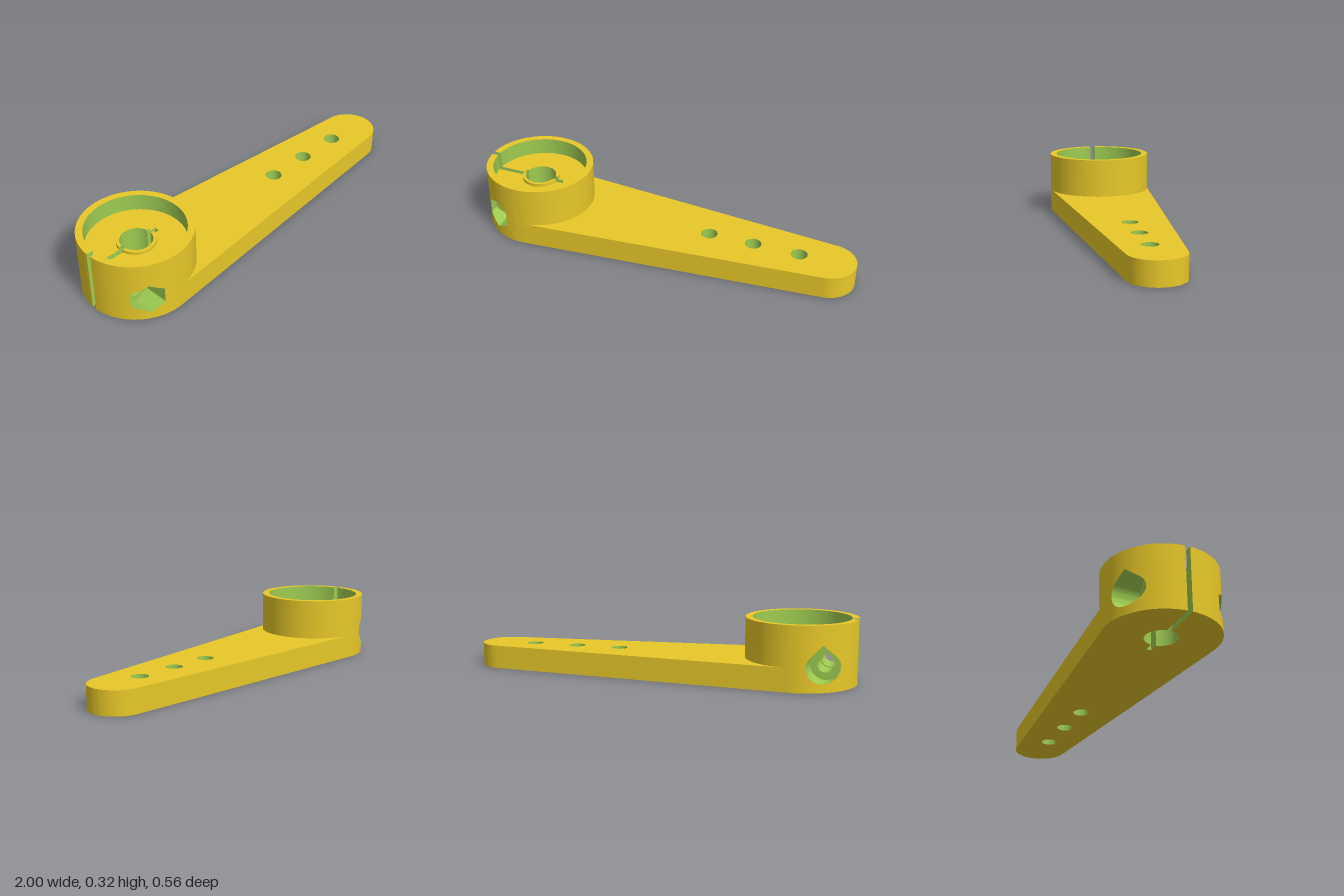
import * as THREE from 'three';
import { toCreasedNormals } from 'three/addons/utils/BufferGeometryUtils.js';

const V2 = (x, y) => new THREE.Vector2(x, y);
const V3 = (x, y, z) => new THREE.Vector3(x, y, z);

// main sizes, measured from the hub axis
const R = 0.28, RECESS = 0.245, BOSS = 0.096, BORE = 0.08;
const H = 0.325, FLOOR = 0.237, BOSS_Y = 0.253, ARM_Y = 0.12;
const S = 0.0125, SLOT_END = 0.13;
const TIP_X = 1.58, TIP_R = 0.14;
const SCREW_X = -0.14, SCREW_Y = 0.12, SEAT_Z = 0.14;
const T = Math.PI / 2 - Math.asin((R - TIP_R) / TIP_X);
const gap = (r) => Math.asin(S / r);

// plan-view arc as (x, z) points
function arc(r, a0, a1, cx = 0) {
  const n = Math.max(4, Math.ceil(Math.abs(a1 - a0) * 16));
  return Array.from({ length: n + 1 }, (_, i) => {
    const a = a0 + (a1 - a0) * i / n;
    return V2(cx + r * Math.cos(a), r * Math.sin(a));
  });
}

// convex cross-drill profile as columns of x, low and high edge
function profile(halfWidth, low, high) {
  return Array.from({ length: 25 }, (_, i) => {
    const x = -halfWidth * Math.cos(i * Math.PI / 24);
    return { x: SCREW_X + x, lo: SCREW_Y - low(Math.abs(x)), hi: SCREW_Y + high(Math.abs(x)) };
  });
}
function teardrop(r) {
  const round = (x) => Math.sqrt(Math.max(0, r * r - x * x));
  return profile(r, round, (x) => (x < r * Math.SQRT1_2 ? r * Math.SQRT2 - x : round(x)));
}
function hexagon(r) {
  const side = (x) => r - x / Math.sqrt(3);
  return profile(r * Math.sqrt(3) / 2, side, side);
}
const loop = (p) => [...p.map((c) => V2(c.x, c.lo)), ...p.slice().reverse().map((c) => V2(c.x, c.hi))];

export function createModel() {
  const body = new THREE.MeshStandardMaterial({ color: 0xf9d72c, side: THREE.DoubleSide });
  body.name = 'yellow body';
  const cut = new THREE.MeshStandardMaterial({ color: 0x9dcb51, side: THREE.DoubleSide });
  cut.name = 'green cut';
  const model = new THREE.Group();
  model.name = 'clampArm';
  const parts = new THREE.Group();
  parts.name = 'armParts';
  parts.position.x = -0.72;
  model.add(parts);

  function add(name, geo, mat) {
    const mesh = new THREE.Mesh(geo, mat);
    mesh.name = name;
    parts.add(mesh);
    return mesh;
  }
  // surface ruled between two rows of points
  function strip(name, a, b, mat) {
    const pos = [], idx = [];
    a.forEach((p, i) => {
      pos.push(p.x, p.y, p.z, b[i].x, b[i].y, b[i].z);
      if (i) idx.push(2 * i - 2, 2 * i - 1, 2 * i, 2 * i, 2 * i - 1, 2 * i + 1);
    });
    const geo = new THREE.BufferGeometry();
    geo.setAttribute('position', new THREE.Float32BufferAttribute(pos, 3));
    geo.setIndex(idx);
    return add(name, toCreasedNormals(geo, 0.6), mat);
  }
  const wall = (name, pts, y0, y1, mat) =>
    strip(name, pts.map((p) => V3(p.x, y0, p.y)), pts.map((p) => V3(p.x, y1, p.y)), mat);
  function face(name, pts, mat, holes = []) {
    const shape = new THREE.Shape(pts);
    shape.holes = holes.map((h) => new THREE.Path(h));
    return add(name, new THREE.ShapeGeometry(shape), mat);
  }
  function flat(name, pts, y, mat, holes, down = false) {
    const mesh = face(name, pts, mat, holes);
    mesh.geometry.rotateX(down ? Math.PI / 2 : -Math.PI / 2);
    mesh.position.y = y;
  }

  // arm: underside, top, tip, and three linkage holes
  const PI = Math.PI;
  const linkHoles = [0.955, 1.19, 1.43].map((x) => arc(0.042, 0, 2 * PI, x));
  const holeRims = linkHoles.map((h) => h.slice(0, -1));
  const tip = arc(TIP_R, T, -T, TIP_X);
  const outline = [
    ...arc(R, PI - gap(R), T), ...tip, ...arc(R, -T, gap(R) - PI),
    ...arc(BORE, gap(BORE) - PI, -gap(BORE)), V2(SLOT_END, -S),
    V2(SLOT_END, S), ...arc(BORE, gap(BORE), PI - gap(BORE)),
  ];
  flat('underside', outline, 0, body, holeRims, true);
  flat('armTop', [...tip, ...arc(R, -T, T)], ARM_Y, body, holeRims);
  wall('armTip', tip, 0, ARM_Y, body);
  linkHoles.forEach((h) => wall('linkageHole', h, 0, ARM_Y, cut));

  // hub: rim, recess and the wall above the arm
  const rimArc = (r) => arc(r, gap(r) - PI, PI - gap(r));
  flat('hubRim', [...rimArc(R), ...rimArc(RECESS).reverse()], H, body);
  wall('recessWall', rimArc(RECESS), FLOOR, H, cut);
  wall('hubWallOverArm', arc(R, -T, T), ARM_Y, H, body);
  flat('recessFloor', [
    ...rimArc(RECESS), ...arc(BOSS, PI - gap(BOSS), gap(BOSS)),
    V2(SLOT_END, S), V2(SLOT_END, -S), ...arc(BOSS, -gap(BOSS), gap(BOSS) - PI),
  ], FLOOR, body);
  wall('slotEnd', [V2(SLOT_END, -S), V2(SLOT_END, S)], 0, FLOOR, cut);

  // clamp halves: +1 carries the nut pocket, -1 the screw head pocket
  const screw = teardrop(0.041);
  for (const s of [1, -1]) {
    const half = (r, end = PI - gap(r)) => arc(r, s * gap(r), s * end);
    const pocket = s > 0 ? hexagon(0.08) : teardrop(0.077);
    const surface = (x) => s * Math.sqrt(R * R - x * x);

    // arm side, bore and boss
    wall('armSide', [V2(R * Math.cos(T), s * R * Math.sin(T)),
      V2(TIP_X + TIP_R * Math.cos(T), s * TIP_R * Math.sin(T))], 0, ARM_Y, body);
    wall('bore', half(BORE), 0, BOSS_Y, cut);
    wall('bossWall', half(BOSS), FLOOR, BOSS_Y, body);
    flat('bossTop', [...half(BOSS), ...half(BORE).reverse()], BOSS_Y, body);

    // outer hub wall around the pocket mouth
    const left = Math.acos(pocket[0].x / R), right = Math.acos(pocket[24].x / R);
    wall('hubWall', arc(R, s * T, s * right), 0, H, body);
    wall('hubWall', arc(R, s * left, s * (PI - gap(R))), 0, H, body);
    const row = (f) => pocket.map((c) => V3(c.x, f(c), surface(c.x)));
    strip('hubWallBelowPocket', row(() => 0), row((c) => c.lo), body);
    strip('hubWallAbovePocket', row((c) => c.hi), row(() => H), body);

    // pocket, its seat and the screw hole
    const closed = (p) => [...loop(p), loop(p)[0]];
    const mouth = closed(pocket), drill = closed(screw);
    strip('pocketWall', mouth.map((p) => V3(p.x, p.y, surface(p.x))),
      mouth.map((p) => V3(p.x, p.y, s * SEAT_Z)), cut);
    face('pocketSeat', loop(pocket), cut, [loop(screw)]).position.z = s * SEAT_Z;
    strip('screwHole', drill.map((p) => V3(p.x, p.y, s * SEAT_Z)),
      drill.map((p) => V3(p.x, p.y, s * S)), cut);

    // slot faces on both sides of the bore
    face('slotFace', [
      V2(-R, 0), V2(-R, H), V2(-RECESS, H), V2(-RECESS, FLOOR), V2(-BOSS, FLOOR),
      V2(-BOSS, BOSS_Y), V2(-BORE, BOSS_Y), V2(-BORE, 0),
    ], cut, [loop(screw)]).position.z = s * S;
    face('slotFaceInner', [
      V2(BORE, 0), V2(BORE, BOSS_Y), V2(BOSS, BOSS_Y), V2(BOSS, FLOOR),
      V2(SLOT_END, FLOOR), V2(SLOT_END, 0),
    ], cut).position.z = s * S;
  }
  return model;
}
